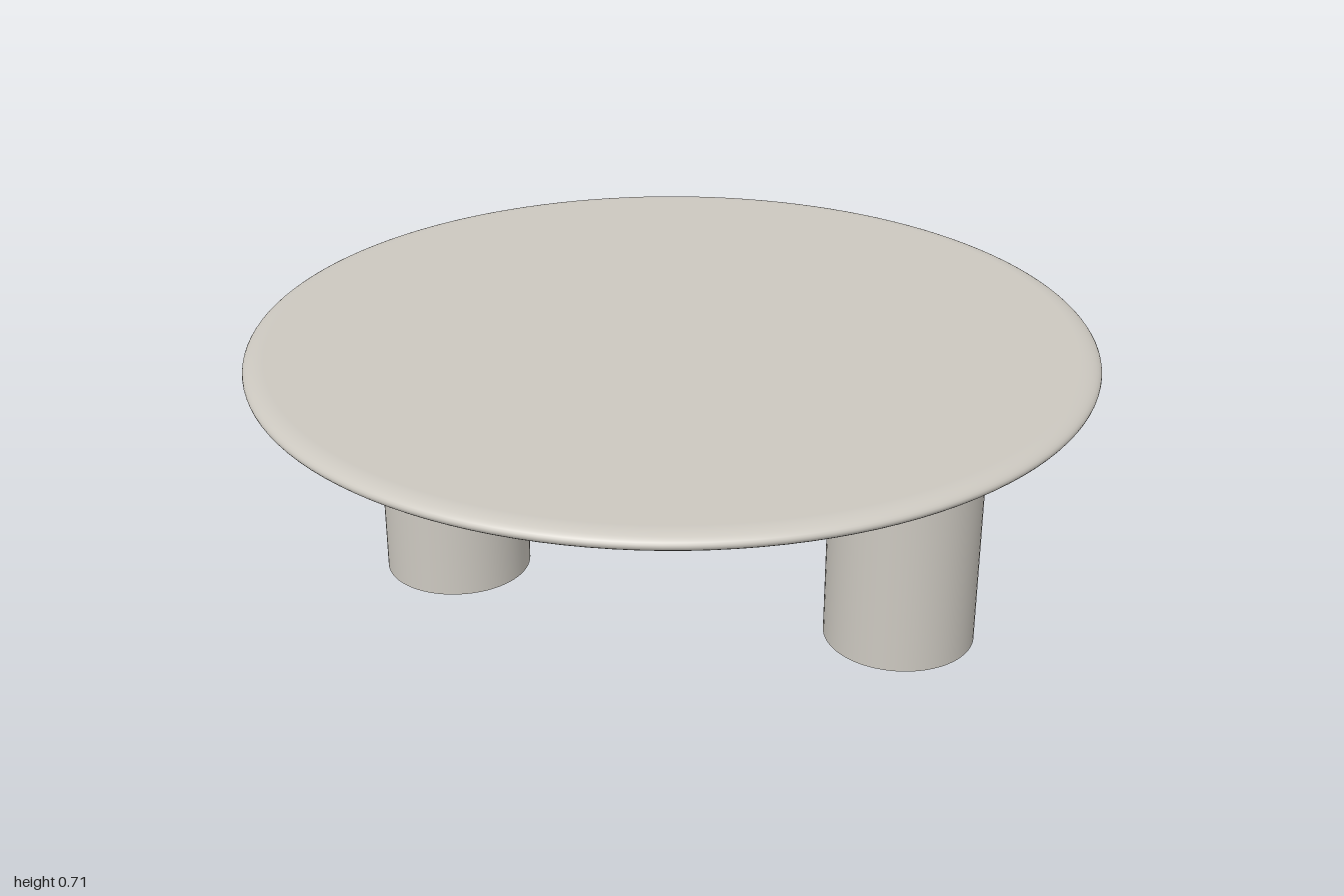
import * as THREE from 'three';

export function createModel() {
  const table = new THREE.Group();
  table.name = 'table';
  const stone = new THREE.MeshStandardMaterial({ color: 0xccc8c0 });
  stone.name = 'warm grey';

  const legHeight = 0.67, thickness = 0.043, rim = 0.05;

  // Round top: flat faces joined by a half-ellipse rim
  const profile = [new THREE.Vector2(0, 0)];
  const steps = 16;
  for (let i = 0; i <= steps; i++) {
    const a = -Math.PI / 2 + (Math.PI * i) / steps;
    profile.push(new THREE.Vector2(
      1 - rim + rim * Math.cos(a),
      (thickness / 2) * (1 + Math.sin(a))
    ));
  }
  profile.push(new THREE.Vector2(0, thickness));
  const top = new THREE.Mesh(new THREE.LatheGeometry(profile, 128), stone);
  top.name = 'tableTop';
  top.position.y = legHeight;
  table.add(top);

  // Two thick cylindrical legs
  const legGeometry = new THREE.CylinderGeometry(0.183, 0.183, legHeight, 64);
  for (const [name, side] of [['leftLeg', 1], ['rightLeg', -1]]) {
    const leg = new THREE.Mesh(legGeometry, stone);
    leg.name = name;
    leg.position.set(side * 0.58, legHeight / 2, 0);
    table.add(leg);
  }
  return table;
}
